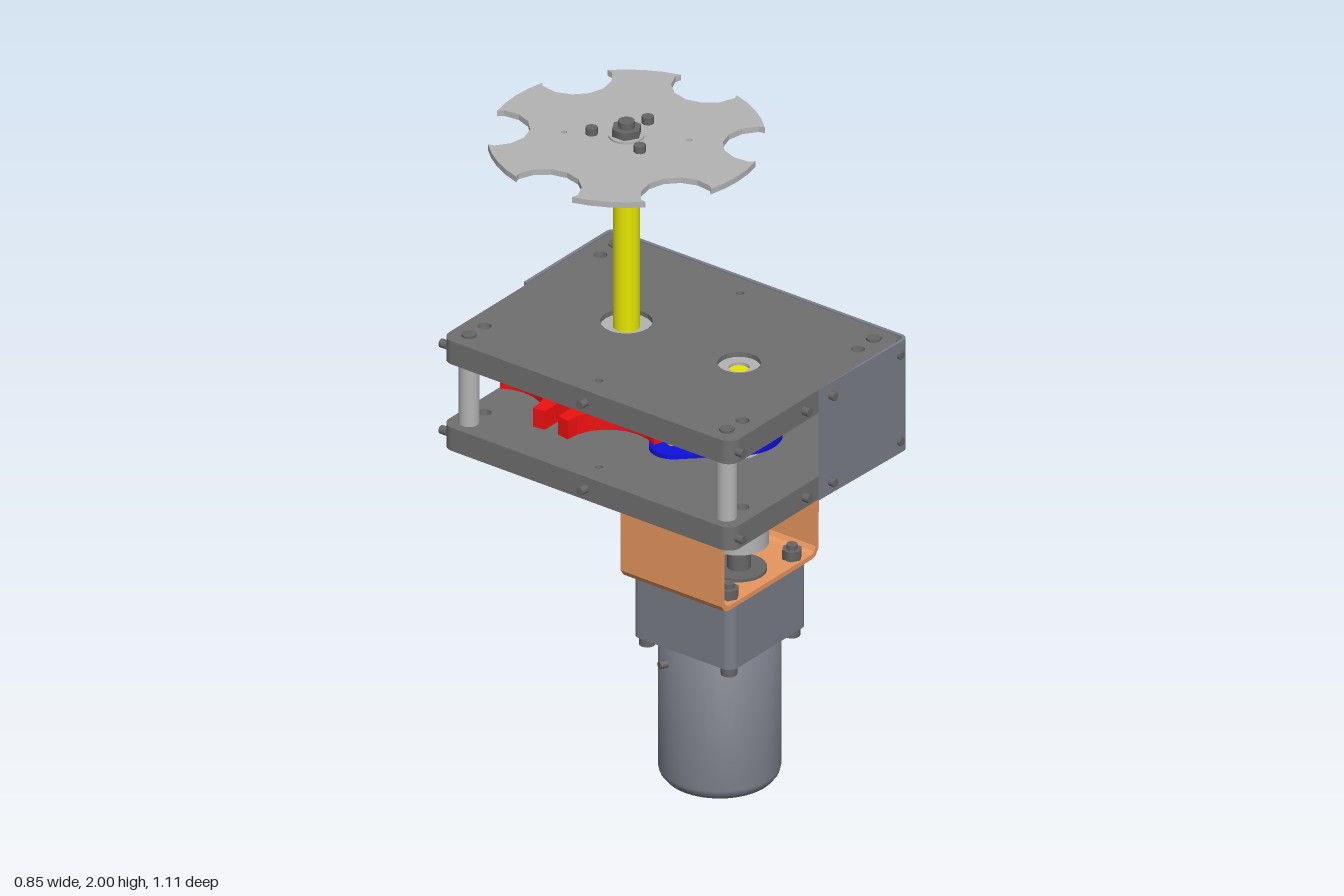
import * as THREE from 'three';

const mat = (color) => new THREE.MeshStandardMaterial({ color });
const M = {
  plate: mat(0x707070), steel: mat(0x7a7d88), light: mat(0xb4b4b4), dark: mat(0x666666),
  yellow: mat(0xe6e600), orange: mat(0xe8965e), red: mat(0xf01010), blue: mat(0x1010e0),
};
const DRIVE_Z = 0.25, WHEEL_Z = -0.155;   // the two shaft axes
const PIN_R = 0.2025, WHEEL_R = 0.35, AXIS_GAP = DRIVE_Z - WHEEL_Z;

export function createModel() {
  const root = new THREE.Group();
  root.name = 'indexingDrive';

  const add = (name, geo, material, x = 0, y = 0, z = 0, parent = root) => {
    const m = new THREE.Mesh(geo, material);
    m.name = name;
    m.position.set(x, y, z);
    parent.add(m);
    return m;
  };
  // upright cylinder between two heights
  const rod = (name, r, y0, y1, x, z, material, sides = 24) =>
    add(name, new THREE.CylinderGeometry(r, r, y1 - y0, sides), material, x, (y0 + y1) / 2, z);
  // plan-view outline (x, z) extruded between two heights
  const slab = (name, shape, y0, y1, material, x = 0, z = 0) => {
    const g = new THREE.ExtrudeGeometry(shape, { depth: y1 - y0, bevelEnabled: false, curveSegments: 10 });
    g.rotateX(Math.PI / 2);
    return add(name, g, material, x, y1, z);
  };
  const hole = (shape, x, z, r) => shape.holes.push(new THREE.Path().absarc(x, z, r, 0, Math.PI * 2, true));
  const roundRect = (x0, x1, z0, z1, r) => {
    const s = new THREE.Shape();
    s.absarc(x1 - r, z1 - r, r, 0, Math.PI / 2);
    s.absarc(x0 + r, z1 - r, r, Math.PI / 2, Math.PI);
    s.absarc(x0 + r, z0 + r, r, Math.PI, Math.PI * 1.5);
    s.absarc(x1 - r, z0 + r, r, Math.PI * 1.5, Math.PI * 2);
    s.closePath();
    return s;
  };
  const polar = (r, a) => new THREE.Vector2(r * Math.cos(a), r * Math.sin(a));

  // ---- motor and gearbox
  const MZ = 0.18;
  const can = [[0, 0], [0.16, 0], [0.172, 0.015], [0.176, 0.03], [0.176, 0.47], [0, 0.47]]
    .map(([r, y]) => new THREE.Vector2(r, y));
  add('motorCan', new THREE.LatheGeometry(can, 40), M.steel, 0, 0, MZ);
  slab('gearbox', roundRect(-0.18, 0.18, MZ - 0.18, MZ + 0.18, 0.03), 0.46, 0.665, M.steel);
  for (const sx of [-1, 1]) for (const sz of [-1, 1]) {
    const x = sx * 0.147, z = MZ + sz * 0.147;
    rod('gearboxBoltHead', 0.024, 0.43, 0.46, x, z, M.dark, 12);
    rod('bracketNut', 0.03, 0.68, 0.71, x, z, M.dark, 6);
    rod('gearboxBoltEnd', 0.016, 0.71, 0.725, x, z, M.dark, 10);
  }
  for (const a of [Math.PI * 1.12, Math.PI * 1.62]) {
    const p = polar(0.18, a);
    const t = add('motorTerminal', new THREE.CylinderGeometry(0.012, 0.012, 0.04, 8), M.dark, p.x, 0.4, MZ + p.y);
    t.rotation.set(0, -a, Math.PI / 2);
  }

  // ---- folded bracket: an open hat profile, extruded along z
  const b = [[-0.305, 0.995], [-0.215, 0.995], [-0.213, 0.993], [-0.213, 0.7], [-0.205, 0.686], [-0.192, 0.68]];
  const outer = [[-0.192, 0.665], [-0.212, 0.67], [-0.226, 0.69], [-0.228, 0.98], [-0.305, 0.98]];
  const mirror = (pts) => pts.map(([x, y]) => [-x, y]).reverse();
  const profile = [...b, ...mirror(b), ...mirror(outer).map((p) => p), ...outer];
  const bracket = new THREE.ExtrudeGeometry(
    new THREE.Shape(profile.map(([x, y]) => new THREE.Vector2(x, y))), { depth: 0.364, bevelEnabled: false });
  add('motorBracket', bracket, M.orange, 0, 0, -0.002);
  for (const sx of [-1, 1]) for (const z of [0.04, 0.32]) rod('bracketScrew', 0.024, 0.957, 0.98, sx * 0.27, z, M.dark, 10);

  // ---- output shaft and coupling
  rod('outputBoss', 0.08, 0.665, 0.69, 0, DRIVE_Z, M.dark);
  rod('outputShaft', 0.034, 0.69, 0.78, 0, DRIVE_Z, M.dark);
  rod('couplingLower', 0.086, 0.77, 0.86, 0, DRIVE_Z, M.light, 32);
  rod('couplingInsert', 0.074, 0.86, 0.9, 0, DRIVE_Z, M.dark, 32);
  rod('couplingUpper', 0.086, 0.9, 0.98, 0, DRIVE_Z, M.light, 32);
  for (let i = 0; i < 4; i++) {
    const a = i * Math.PI / 2 + 0.4, p = polar(0.065, a);
    const jaw = add('couplingJaw', new THREE.BoxGeometry(0.04, 0.04, 0.05), M.light, p.x, 0.88, DRIVE_Z + p.y);
    jaw.rotation.y = -a;
  }
  rod('driveShaft', 0.03, 0.98, 1.325, 0, DRIVE_Z, M.yellow, 16);

  // ---- top and bottom plates with bearings and corner posts
  const corners = [];
  for (const sx of [-1, 1]) for (const z of [-0.457, 0.47]) corners.push([sx, z]);
  for (const [name, y0, y1] of [['bottomPlate', 0.995, 1.07], ['topPlate', 1.275, 1.35]]) {
    const s = roundRect(-0.4, 0.4, -0.515, 0.53, 0.04);
    hole(s, 0, DRIVE_Z, 0.062);
    hole(s, 0, WHEEL_Z, 0.075);
    for (const [sx, z] of corners) hole(s, sx * 0.27, z, 0.02);
    for (const sx of [-1, 1]) hole(s, sx * 0.33, 0, 0.012);
    slab(name, s, y0, y1, M.plate);
    const by = (y0 + y1) / 2;
    for (const [z, r, ri] of [[DRIVE_Z, 0.062, 0.03], [WHEEL_Z, 0.075, 0.039]]) {
      const ring = new THREE.Shape().absarc(0, 0, r, 0, Math.PI * 2);
      hole(ring, 0, 0, ri);
      slab('bearing', ring, by - 0.022, by + 0.022, M.light, 0, z);
    }
    // screws around the plate edges
    for (const s2 of [-1, 1]) {
      const side = add('edgeScrew', new THREE.CylinderGeometry(0.013, 0.013, 0.03, 10), M.dark, s2 * 0.412, by, 0.005);
      side.rotation.z = Math.PI / 2;
      for (const z of [-0.525, 0.54]) for (const x of [0.06, 0.37]) {
        const e = add('edgeScrew', new THREE.CylinderGeometry(0.013, 0.013, 0.024, 10), M.dark, s2 * x, by, z);
        e.rotation.x = Math.PI / 2;
      }
    }
  }
  for (const [sx, z] of corners) {
    rod('cornerPost', 0.03, 1.07, 1.275, sx * 0.343, z, M.light);
    rod('postScrewTop', 0.022, 1.35, 1.357, sx * 0.343, z, M.dark, 8);
    rod('postScrewBottom', 0.022, 0.988, 0.995, sx * 0.343, z, M.dark, 8);
  }

  // ---- bent sheet cover around the +x half
  const sheet = (x, z0, z1, r, shape, back) => {
    const arcs = [[x - r, z1 - r, Math.PI / 2, 0], [x - r, z0 + r, 0, -Math.PI / 2]];
    if (back) for (const [cx, cz, a, e] of arcs.reverse()) shape.absarc(cx, cz, r, e, a, false);
    else for (const [cx, cz, a, e] of arcs) shape.absarc(cx, cz, r, a, e, true);
  };
  const cover = new THREE.Shape();
  cover.moveTo(0.005, 0.543);
  sheet(0.414, -0.528, 0.543, 0.025, cover, false);
  cover.lineTo(0.005, -0.528);
  cover.lineTo(0.005, -0.517);
  sheet(0.403, -0.517, 0.532, 0.014, cover, true);
  cover.lineTo(0.005, 0.532);
  slab('sideCover', cover, 0.993, 1.352, M.steel);

  // ---- slotted wheel: six slots with locking arcs between them
  const wheel = [], lockR = 0.14, half = 0.024;
  for (let k = 0; k < 6; k++) {
    const a = k * Math.PI / 3, c = new THREE.Vector2();
    const put = (x, y) => wheel.push(new THREE.Vector2(x, y).rotateAround(c, a));
    put(WHEEL_R, -half);
    put(0.16, -half);
    put(0.143, -half * 0.6);
    put(0.143, half * 0.6);
    put(0.16, half);
    put(WHEEL_R, half);
    const mid = a + Math.PI / 6, lc = polar(AXIS_GAP, mid);
    for (let i = -4; i <= 4; i++) wheel.push(polar(lockR, mid + Math.PI - i * 0.27).multiplyScalar(-1)
      .negate().add(lc).rotateAround(lc, 0));
  }
  // order each locking arc by angle about the wheel axis
  wheel.sort((p, q) => 0);
  const ordered = [];
  for (let k = 0; k < 6; k++) {
    const block = wheel.slice(k * 15, k * 15 + 15), arc = block.slice(6), mid = k * Math.PI / 3 + Math.PI / 6;
    const off = (p) => { const d = Math.atan2(p.y, p.x) - mid; return Math.atan2(Math.sin(d), Math.cos(d)); };
    ordered.push(...block.slice(0, 6), ...arc.sort((p, q) => off(p) - off(q)));
  }
  slab('slottedWheel', new THREE.Shape(ordered), 1.14, 1.2, M.red, 0, WHEEL_Z);
  rod('wheelHub', 0.07, 1.1, 1.24, 0, WHEEL_Z, M.red);
  rod('wheelSpacer', 0.055, 1.235, 1.275, 0, WHEEL_Z, M.orange);
  rod('wheelSpacer', 0.055, 1.07, 1.105, 0, WHEEL_Z, M.orange);

  // ---- driver: two arms carrying the pin, with a locking disc cut away at the pin
  const pinA = Math.PI * 7 / 6, pin = polar(PIN_R, pinA), hubR = 0.125, tipR = 0.07;
  const arm = new THREE.Shape();
  const tilt = Math.acos((hubR - tipR) / PIN_R);
  arm.absarc(0, 0, hubR, pinA + tilt, pinA - tilt + Math.PI * 2, false);
  arm.absarc(pin.x, pin.y, tipR, pinA - tilt, pinA + tilt, false);
  arm.closePath();
  slab('driverArmLower', arm, 1.115, 1.13, M.blue, 0, DRIVE_Z);
  slab('driverArmUpper', arm, 1.207, 1.222, M.blue, 0, DRIVE_Z);
  const lock = new THREE.Shape();
  lock.absarc(0, 0, 0.125, pinA + 1.05, pinA - 1.05 + Math.PI * 2, false);
  const dent = polar(0.05, pinA);
  lock.lineTo(dent.x, dent.y);
  lock.closePath();
  slab('lockingDisc', lock, 1.13, 1.207, M.blue, 0, DRIVE_Z);
  rod('drivePin', 0.018, 1.1, 1.235, pin.x, DRIVE_Z + pin.y, M.yellow, 12);
  rod('driverCollar', 0.06, 1.08, 1.115, 0, DRIVE_Z, M.yellow);
  rod('driverSpacer', 0.05, 1.222, 1.275, 0, DRIVE_Z, M.orange);

  // ---- tall output shaft, flange and notched disc
  rod('turntableShaft', 0.039, 1.0, 1.9, 0, WHEEL_Z, M.yellow, 24);
  rod('discFlange', 0.14, 1.893, 1.932, 0, WHEEL_Z, M.light, 36);
  const rim = [], notchC = 0.385, notchR = 0.108;
  for (let k = 0; k < 6; k++) {
    const a = k * Math.PI / 3, c = polar(notchC, a);
    for (let i = 0; i <= 6; i++) rim.push(polar(notchR, a + Math.PI + 1.4 - i * 2.8 / 6).add(c));
    for (let i = 0; i <= 4; i++) rim.push(polar(0.398, a + Math.PI / 6 + (i - 2) * 0.134));
  }
  const disc = new THREE.Shape(rim);
  hole(disc, -0.09, -0.155, 0.009);
  hole(disc, 0.09, 0.157, 0.009);
  slab('notchedDisc', disc, 1.932, 1.95, M.light, 0, WHEEL_Z);
  for (let i = 0; i < 3; i++) {
    const p = polar(0.1, i * Math.PI * 2 / 3);
    rod('discScrew', 0.018, 1.95, 1.972, p.x, WHEEL_Z + p.y, M.dark, 8);
  }
  rod('centreWasher', 0.052, 1.95, 1.957, 0, WHEEL_Z, M.light);
  rod('centreNut', 0.045, 1.957, 1.98, 0, WHEEL_Z, M.dark, 6);
  rod('centreStud', 0.024, 1.98, 2.0, 0, WHEEL_Z, M.dark, 12);

  return root;
}
